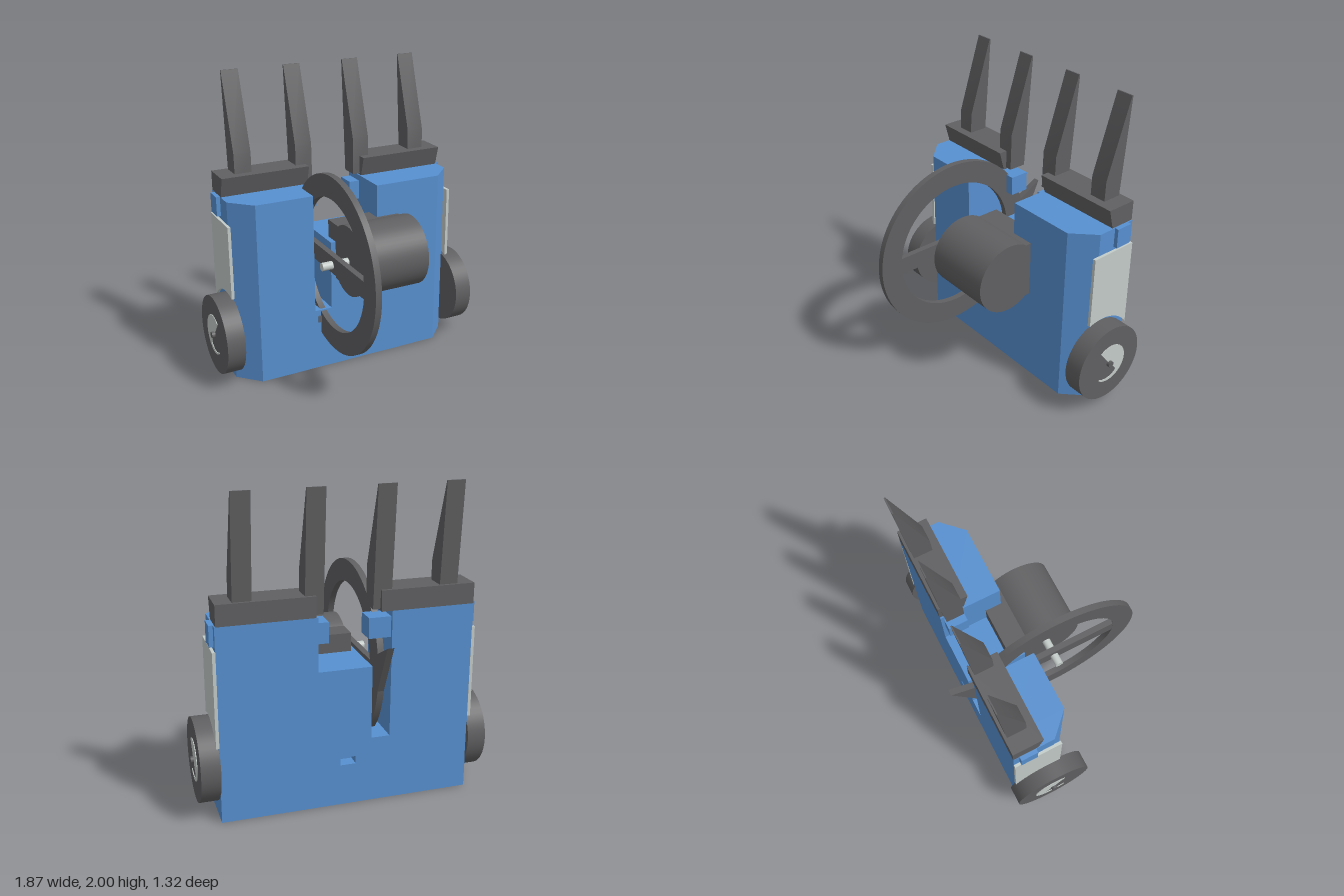
import * as THREE from 'three';
import { toCreasedNormals } from 'three/addons/utils/BufferGeometryUtils.js';

const blue = new THREE.MeshStandardMaterial({ color: 0x5790d0 });
blue.name = 'body blue';
const dark = new THREE.MeshStandardMaterial({ color: 0x606062 });
dark.name = 'dark grey';
const light = new THREE.MeshStandardMaterial({ color: 0xc4ccc9 });
light.name = 'pale grey';

const poly = (pts) => new THREE.Shape(pts.map(([a, b]) => new THREE.Vector2(a, b)));

export function createModel() {
  const model = new THREE.Group();

  const add = (name, geometry, material) => {
    const mesh = new THREE.Mesh(geometry, material);
    mesh.name = name;
    model.add(mesh);
    return mesh;
  };
  const extrude = (shape, depth) => toCreasedNormals(
    new THREE.ExtrudeGeometry(shape, { depth, bevelEnabled: false, curveSegments: 48 }), 0.5);
  // Outline given in (z, y), extruded from x0 to x1
  const across = (shape, x0, x1) =>
    extrude(shape, x1 - x0).rotateY(-Math.PI / 2).translate(x1, 0, 0);
  const box = (x0, x1, y0, y1, z0, z1) =>
    new THREE.BoxGeometry(x1 - x0, y1 - y0, z1 - z0)
      .translate((x0 + x1) / 2, (y0 + y1) / 2, (z0 + z1) / 2);
  // Cylinder along x
  const rod = (x0, x1, r, y, z) =>
    new THREE.CylinderGeometry(r, r, Math.abs(x1 - x0), 48)
      .rotateZ(Math.PI / 2).translate((x0 + x1) / 2, y, z);

  // Body: notched centre section with a shallow pocket in the back
  const outline = () => poly([
    [-0.66, 0], [0.66, 0], [0.66, 1.24], [0.19, 1.24], [0.19, 0.9],
    [-0.15, 0.9], [-0.15, 0.43], [-0.27, 0.43], [-0.27, 1.24], [-0.66, 1.24],
  ]);
  add('bodyFront', extrude(outline(), 0.33).translate(0, 0, -0.43), blue);
  const pocketed = outline();
  pocketed.holes.push(poly([[-0.05, 0.27], [-0.05, 0.32], [0.05, 0.32], [0.05, 0.27]]));
  add('bodyBack', extrude(pocketed, 0.08).translate(0, 0, -0.51), blue);

  // Ring weapon with spoke, striking tooth and shaft
  const cy = 0.825, cz = 0.075;
  const ring = new THREE.Shape().absarc(cz, cy, 0.587, 0, Math.PI * 2);
  ring.holes.push(new THREE.Path().absarc(cz, cy, 0.44, 0, Math.PI * 2, true));
  add('weaponRing', across(ring, -0.228, -0.187), dark);
  add('weaponSpoke', box(-0.227, -0.188, 0.77, 0.885, -0.38, 0.56), dark);
  add('weaponTooth', across(poly([[-0.655, 1.06], [-0.49, 0.97], [-0.49, 0.7]]), -0.228, -0.187), dark);
  add('weaponShaft', rod(-0.3, -0.1, 0.027, cy, cz), light);
  add('ringStop', box(-0.25, -0.22, 0.345, 0.39, -0.12, -0.09), dark);

  // Motor with its mounting block
  add('motor', rod(-0.115, 0.35, 0.235, cy + 0.005, cz), dark);
  add('motorMount', box(-0.115, 0.349, 0.64, 1.02, -0.21, 0.05), dark);

  // Lifting bars and their four prongs
  const bar = poly([[-0.31, 1.37], [-0.345, 1.24], [-0.511, 1.24], [-0.511, 1.37]]);
  add('rightBar', across(bar, -0.795, -0.2), dark);
  add('leftBar', across(bar, 0.2, 0.79), dark);
  const prong = poly([[-0.365, 1.25], [-0.37, 1.5], [-0.53, 2], [-0.538, 2], [-0.485, 1.25]]);
  for (const x of [-0.632, -0.212, 0.207, 0.632]) {
    add('prong', across(prong, x - 0.057, x + 0.057), dark);
  }

  // Hinge blocks in the notch
  add('hingeBlock', box(-0.28, -0.13, 1.07, 1.2, -0.49, -0.36), blue);
  add('hingeBlock', box(0.12, 0.2, 1.07, 1.2, -0.49, -0.36), blue);

  // Side panel with a wheel-arch cut-out, in (z, y)
  const wy = 0.33, wz = -0.28, arch = [];
  for (let i = 0; i <= 16; i++) {
    const a = 1.24 + (2.53 - 1.24) * i / 16;
    arch.push([wz + 0.285 * Math.cos(a), wy + 0.285 * Math.sin(a)]);
  }
  const panel = poly([[-0.51, 1.09], ...arch.reverse(), [-0.19, 1.09]]);

  // Pale hub crescent, in (z, y)
  const hubPts = [];
  const hubPoint = (deg, r) => {
    const a = THREE.MathUtils.degToRad(deg);
    hubPts.push([wz - r * Math.cos(a), wy + r * Math.sin(a)]);
  };
  for (let d = 127; d >= -130; d -= 8) hubPoint(d, 0.135);
  for (let d = -128; d <= -52; d += 12) hubPoint(d, 0.125 - 0.02 * (d + 128) / 76);
  hubPoint(-48, 0.09);
  hubPoint(0, 0);
  const hub = poly(hubPts);

  for (const s of [-1, 1]) {
    const span = (shape, a, b) => across(shape, Math.min(s * a, s * b), Math.max(s * a, s * b));
    const slab = (a, b, ...rest) => box(Math.min(s * a, s * b), Math.max(s * a, s * b), ...rest);
    // Chamfered body side, cut from a plan outline in (x, -z)
    const plan = poly([[s * 0.66, 0.1], [s * 0.797, 0.237], [s * 0.797, 0.51], [s * 0.66, 0.51]]);
    add('bodySide', extrude(plan, 1.24).rotateX(-Math.PI / 2), blue);
    add('sidePanel', span(panel, 0.795, 0.815), light);
    add('sideHinge', slab(0.79, 0.823, 1.11, 1.24, -0.47, -0.36), blue);
    add('wheel', rod(s * 0.795, s * 0.915, 0.264, wy, wz), dark);
    add('hubPlate', span(hub, 0.914, 0.919), light);
    add('axleEnd', rod(s * 0.9, s * 0.937, 0.021, wy, wz), dark);
    add('axle', rod(s * 0.75, s * 0.8, 0.02, wy, wz), light);
  }
  return model;
}
